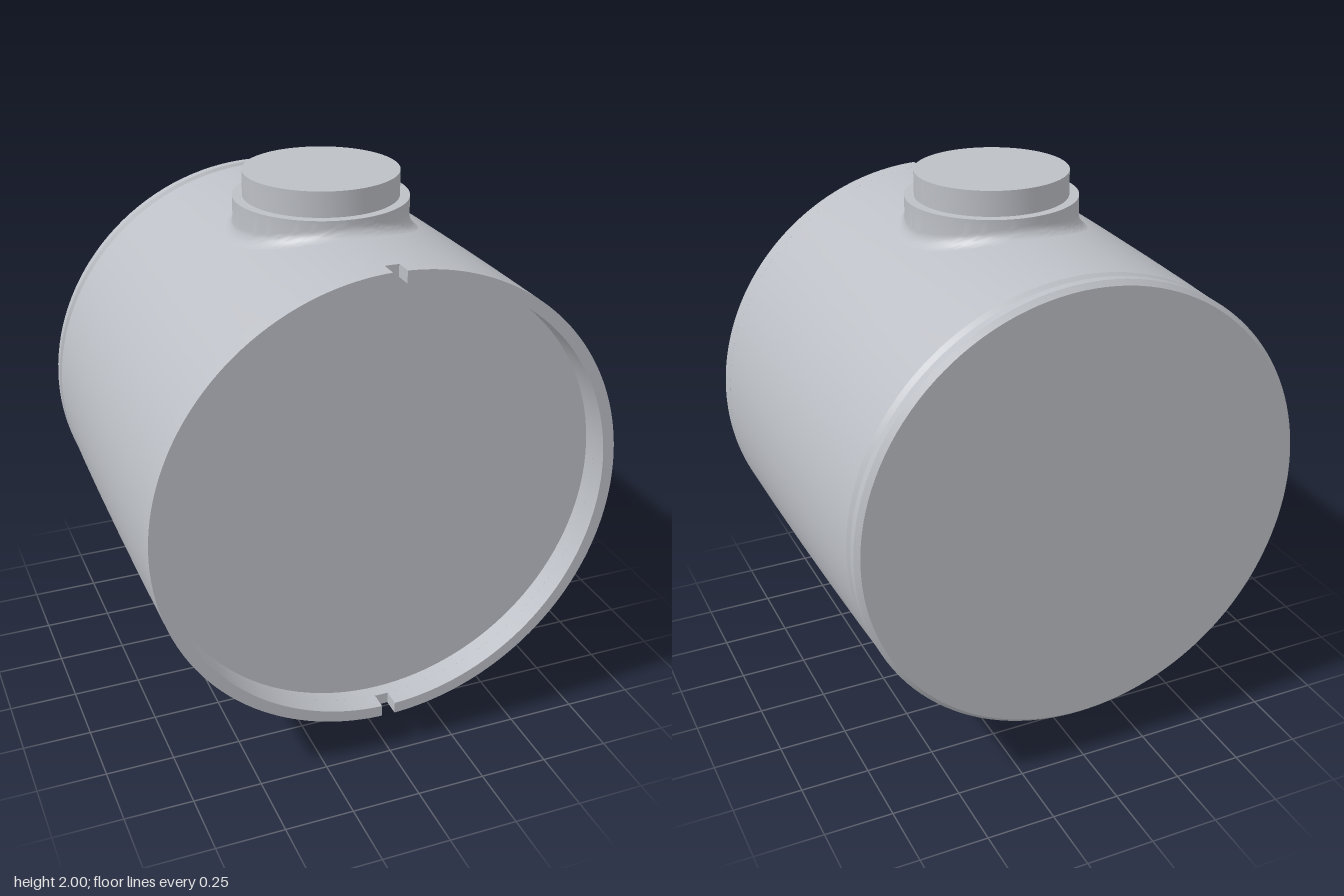
import * as THREE from 'three';
import { toCreasedNormals } from 'three/addons/utils/BufferGeometryUtils.js';

const FRONT = 0.725, NOTCH_Z = 0.66, FLOOR_Z = 0.61;
const OUTER = 0.853, INNER = 0.81;
const BOSS_Z = 0.05, BOSS_R = 0.31, CAP_R = 0.275, FILLET = 0.04;

// slightly bowed taper of the barrel: [radius, z]
const TAPER = [[0.832, -0.64], [0.838, -0.45], [0.844, -0.2], [0.849, 0.1], [0.852, 0.4], [OUTER, NOTCH_Z]];

function barrelRadius(z) {
  for (let i = 1; i < TAPER.length; i++) {
    const [r0, z0] = TAPER[i - 1], [r1, z1] = TAPER[i];
    if (z <= z1) return r0 + (r1 - r0) * (z - z0) / (z1 - z0);
  }
  return OUTER;
}

function lathe(points, segments) {
  const geo = new THREE.LatheGeometry(points.map(([r, h]) => new THREE.Vector2(r, h)), segments);
  return toCreasedNormals(geo, 0.4);
}

// half of the front rim, leaving a notch gap at top and bottom
function rimHalf() {
  const half = 0.025;
  const ao = Math.PI / 2 - Math.asin(half / OUTER);
  const ai = Math.PI / 2 - Math.asin(half / INNER);
  const shape = new THREE.Shape();
  shape.absarc(0, 0, OUTER, -ao, ao, false);
  shape.absarc(0, 0, INNER, ai, -ai, true);
  const geo = new THREE.ExtrudeGeometry(shape, { depth: FRONT - NOTCH_Z, bevelEnabled: false, curveSegments: 64 });
  return toCreasedNormals(geo.translate(0, 0, NOTCH_Z), 0.4);
}

// boss wall with a fillet that follows the curved barrel
function bossWall() {
  const rows = 9;
  const geo = new THREE.CylinderGeometry(1, 1, 1, 96, rows, true);
  const pos = geo.attributes.position, uv = geo.attributes.uv;
  for (let i = 0; i < pos.count; i++) {
    const row = Math.round(uv.getY(i) * rows);
    const a = Math.min(row / (rows - 1), 1) * Math.PI / 2;
    const r = BOSS_R + FILLET * (1 - Math.sin(a));
    const x = pos.getX(i) * r, z = pos.getZ(i) * r + BOSS_Z;
    const surface = Math.sqrt(barrelRadius(z) ** 2 - x * x);
    const y = row === rows ? 0.91 : surface - 0.001 + FILLET * (1 - Math.cos(a));
    pos.setXYZ(i, x, y, z);
  }
  return toCreasedNormals(geo, 0.6);
}

export function createModel() {
  const model = new THREE.Group();
  const grey = new THREE.MeshStandardMaterial({ color: 0xbcbfc5 });
  grey.name = 'grey metal';
  const add = (parent, name, geo) => {
    const mesh = new THREE.Mesh(geo, grey);
    mesh.name = name;
    parent.add(mesh);
    return mesh;
  };

  // everything is built around the barrel axis, then lifted
  const housing = new THREE.Group();
  housing.name = 'housing';
  housing.position.y = 1;
  model.add(housing);

  // barrel: back lip, groove, tapered wall and front recess
  const barrel = lathe([
    [0, -FRONT], [0.815, -FRONT], [0.832, -0.708], [0.832, -0.678], [0.818, -0.668], [0.818, -0.659],
    ...TAPER,
    [INNER, NOTCH_Z], [INNER, FLOOR_Z], [0, FLOOR_Z],
  ], 128);
  add(housing, 'barrel', barrel.rotateX(Math.PI / 2));

  // front rim halves
  const rim = rimHalf();
  add(housing, 'leftRim', rim);
  add(housing, 'rightRim', rim).rotation.z = Math.PI;

  // top and bottom bosses
  const wall = bossWall();
  const cap = lathe([[BOSS_R, 0.91], [CAP_R, 0.91], [CAP_R, 1], [0, 1]], 96).translate(0, 0, BOSS_Z);
  for (const [name, turn] of [['topBoss', 0], ['bottomBoss', Math.PI]]) {
    const boss = new THREE.Group();
    boss.name = name;
    boss.rotation.z = turn;
    add(boss, 'bossWall', wall);
    add(boss, 'bossCap', cap);
    housing.add(boss);
  }
  return model;
}
